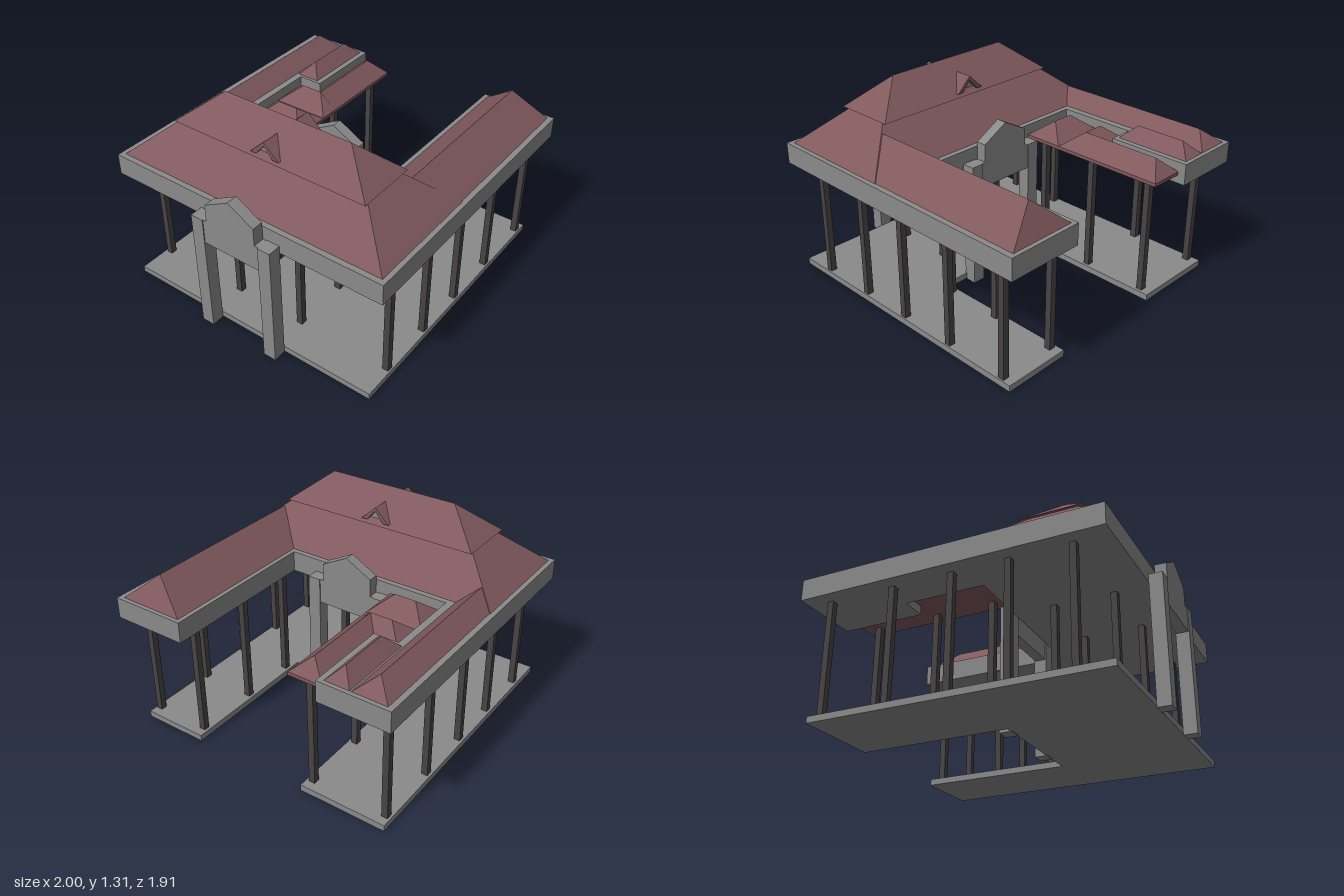
import * as THREE from 'three';

const stone = new THREE.MeshStandardMaterial({ color: 0x8a8a8a });
stone.name = 'grey stone';
const tile = new THREE.MeshStandardMaterial({ color: 0x80595d });
tile.name = 'red roof tile';
const timber = new THREE.MeshStandardMaterial({ color: 0x484445 });
timber.name = 'dark timber';

function add(parent, name, geometry, material) {
  const mesh = new THREE.Mesh(geometry, material);
  mesh.name = name;
  parent.add(mesh);
  return mesh;
}

// Box given by its limits
function block(x0, x1, y0, y1, z0, z1) {
  return new THREE.BoxGeometry(x1 - x0, y1 - y0, z1 - z0)
    .translate((x0 + x1) / 2, (y0 + y1) / 2, (z0 + z1) / 2);
}

// Hipped solid: base rectangle and top rectangle (or ridge), each [x0, x1, z0, z1]
function hip(base, top, y0, y1) {
  const g = new THREE.BoxGeometry(1, 1, 1).toNonIndexed();
  const p = g.attributes.position;
  for (let i = 0; i < p.count; i++) {
    const up = p.getY(i) > 0;
    const r = up ? top : base;
    p.setXYZ(i, p.getX(i) < 0 ? r[0] : r[1], up ? y1 : y0, p.getZ(i) < 0 ? r[2] : r[3]);
  }
  g.computeVertexNormals();
  return g;
}

function outline(points) {
  return new THREE.Shape(points.map(([a, b]) => new THREE.Vector2(a, b)));
}

// Plan outline in (x, z), from y0 to y1
function slab(points, y0, y1) {
  return new THREE.ExtrudeGeometry(outline(points), { depth: y1 - y0, bevelEnabled: false })
    .rotateX(Math.PI / 2).translate(0, y1, 0);
}

// Elevation outline in (z, y), from x0 to x1
function profile(points, x0, x1) {
  return new THREE.ExtrudeGeometry(outline(points), { depth: x1 - x0, bevelEnabled: false })
    .rotateY(-Math.PI / 2).translate(x1, 0, 0);
}

// Gateway with two piers and a gabled panel
function gateway(name, x0, x1) {
  const g = new THREE.Group();
  g.name = name;
  for (const s of [-1, 1]) {
    add(g, 'gatePier', block(x0, x1, 0, 0.81, s * 0.2425 - 0.0425, s * 0.2425 + 0.0425), stone);
  }
  add(g, 'gateGable', profile([
    [-0.2, 0.645], [0.2, 0.645], [0.2, 0.81], [0.175, 0.81], [0.175, 0.925],
    [0, 1.02], [-0.175, 0.925], [-0.175, 0.81], [-0.2, 0.81],
  ], x0 + 0.006, x1 - 0.006), stone);
  return g;
}

export function createModel() {
  const model = new THREE.Group();
  model.name = 'courtyardPavilion';

  // U-shaped floor and eaves
  add(model, 'floor', slab([
    [-0.915, -0.885], [0.925, -0.885], [0.925, -0.315], [-0.045, -0.315],
    [-0.045, 0.455], [0.925, 0.455], [0.925, 0.89], [-0.915, 0.89],
  ], 0.005, 0.045), stone);
  add(model, 'eaves', slab([
    [-0.915, -0.955], [1, -0.955], [1, -0.495], [0.46, -0.495], [0.46, -0.655],
    [-0.055, -0.655], [-0.055, 0.462], [1, 0.462], [1, 0.955], [-0.915, 0.955],
  ], 0.76, 0.895), stone);

  // Posts in rows: z, x positions, top height
  const bays = [-0.695, -0.315, 0.04, 0.425, 0.85];
  const rows = [
    [0.86, bays, 0.76], [-0.85, bays, 0.76],
    [0.493, bays.slice(2), 0.76], [-0.355, bays.slice(2), 0.81],
    [0.24, bays.slice(0, 2), 0.76], [-0.24, bays.slice(0, 2), 0.76],
  ];
  for (const [z, xs, top] of rows) {
    for (const x of xs) {
      add(model, 'post', block(x - 0.02, x + 0.02, 0.045, top, z - 0.02, z + 0.02), timber);
    }
  }

  // Two-tier main roof
  add(model, 'mainRoofSkirt', hip([-0.88, -0.09, -0.925, 0.925], [-0.64, -0.33, -0.66, 0.66], 0.895, 1.12), tile);
  add(model, 'mainRoofTop', hip([-0.685, -0.285, -0.68, 0.68], [-0.485, -0.485, -0.445, 0.445], 1.12, 1.31), tile);

  // Wing roofs
  add(model, 'frontWingRoof', hip([-0.32, 0.975, 0.49, 0.92], [-0.32, 0.872, 0.705, 0.705], 0.895, 1.073), tile);
  add(model, 'backWingRoof', hip([-0.32, 0.975, -0.92, -0.7], [-0.32, 0.872, -0.81, -0.81], 0.895, 0.987), tile);
  add(model, 'sideBayRoof', hip([0.48, 0.975, -0.69, -0.53], [0.565, 0.89, -0.61, -0.61], 0.895, 0.977), tile);

  // Dormers on both slopes
  for (const s of [-1, 1]) {
    const dormer = new THREE.Group();
    dormer.name = s < 0 ? 'rightDormer' : 'leftDormer';
    add(dormer, 'dormerRoof', profile([
      [-0.1, 1.143], [-0.06, 1.143], [0, 1.212], [0.06, 1.143], [0.1, 1.143], [0, 1.238],
    ], 0, 0.195), tile);
    add(dormer, 'dormerPanel', profile([[-0.062, 1.143], [0.062, 1.143], [0, 1.214]], 0, 0.165), stone);
    dormer.rotation.y = s < 0 ? Math.PI : 0;
    dormer.position.x = -0.485;
    model.add(dormer);
  }

  // Low porch roofs over the inner court
  add(model, 'porchEave', slab([
    [-0.05, -0.652], [0.455, -0.652], [0.455, -0.5], [0.95, -0.5], [0.95, -0.275], [-0.05, -0.275],
  ], 0.81, 0.832), tile);
  for (const [x0, x1] of [[-0.05, 0.21], [0.21, 0.455]]) {
    const m = (x0 + x1) / 2;
    add(model, 'porchHip', hip([x0, x1, -0.652, -0.275], [m, m, -0.53, -0.39], 0.832, 0.93), tile);
  }
  add(model, 'porchLongHip', hip([0.3325, 0.95, -0.5, -0.275], [0.3325, 0.86, -0.388, -0.388], 0.832, 0.93), tile);

  // Gateways on the outer side and on the court
  model.add(gateway('outerGateway', -1, -0.915));
  model.add(gateway('courtGateway', -0.055, 0.025));

  return model;
}
